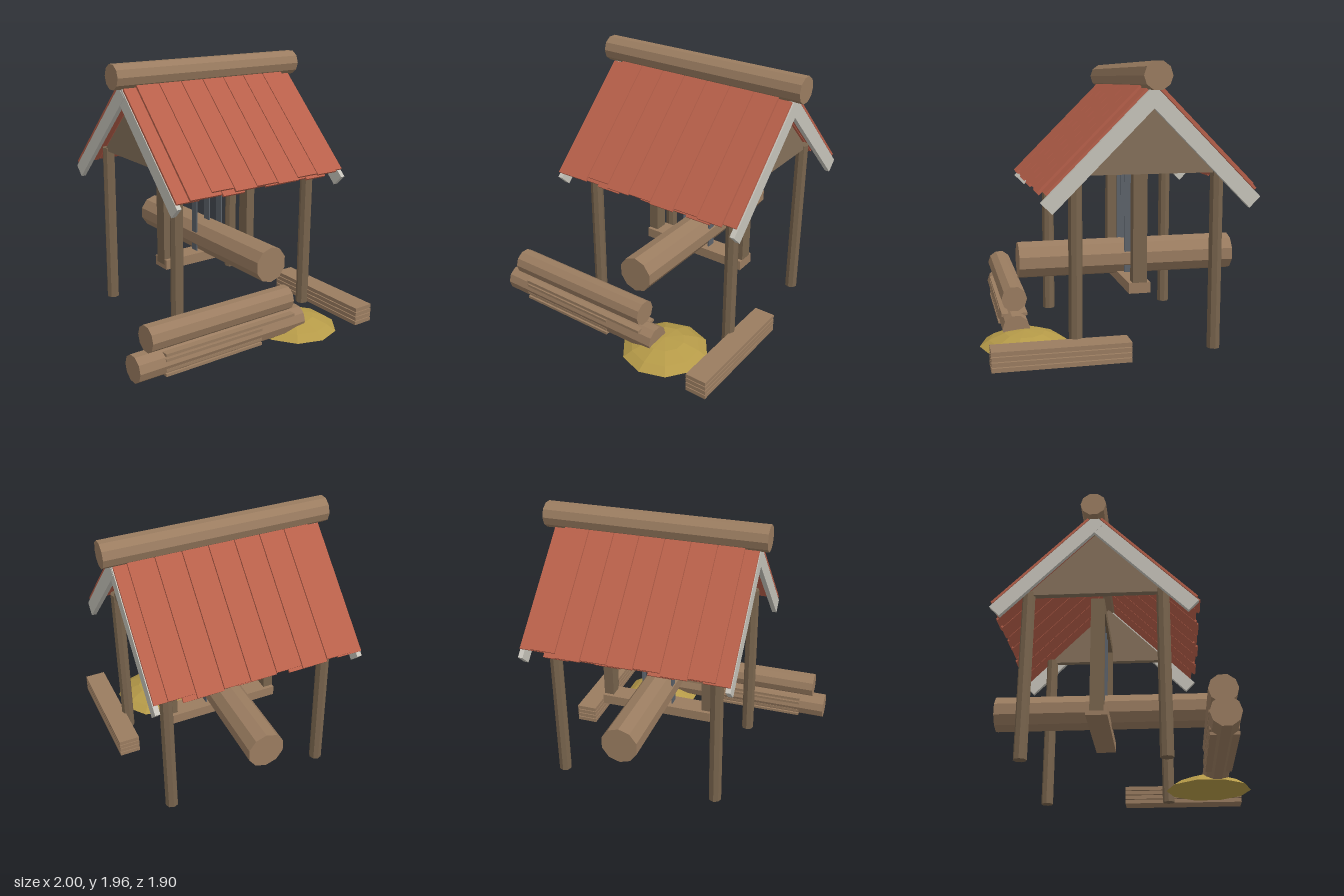
import * as THREE from 'three';

const mat = (color, extra = {}) => new THREE.MeshStandardMaterial({ color, flatShading: true, ...extra });

export function createModel() {
  const model = new THREE.Group();
  const wood = mat(0x9a7c60), darkWood = mat(0x78644d), gableWood = mat(0x84705a);
  const red = mat(0xb8604a), trim = mat(0xc6c3ba), steel = mat(0x5c626a), dust = mat(0xb59a48);

  const add = (parent, name, geometry, material, x, y, z) => {
    const mesh = new THREE.Mesh(geometry, material);
    mesh.name = name;
    mesh.position.set(x, y, z);
    parent.add(mesh);
    return mesh;
  };
  const box = (parent, name, material, w, h, d, x, y, z) =>
    add(parent, name, new THREE.BoxGeometry(w, h, d), material, x, y, z);
  // Lying log, slightly tapered, along x or z
  const log = (name, r0, r1, length, axis, x, y, z) => {
    const g = new THREE.CylinderGeometry(r0, r1, length, 10);
    if (axis === 'x') g.rotateZ(-Math.PI / 2);
    else g.rotateX(Math.PI / 2);
    return add(model, name, g, wood, x, y, z);
  };

  const midZ = -0.15;
  const postX = [-0.425, 0.775];

  // Four corner posts and the two gable triangles
  const gable = new THREE.Shape([
    new THREE.Vector2(-0.5, 0), new THREE.Vector2(0.5, 0), new THREE.Vector2(0, 0.5),
  ]);
  for (const x of postX) {
    for (const s of [-1, 1]) {
      add(model, 'cornerPost', new THREE.CylinderGeometry(0.047, 0.047, 1.25, 8), darkWood,
        x, 0.625, midZ + s * 0.485);
    }
    const g = new THREE.ExtrudeGeometry(gable, { depth: 0.05, bevelEnabled: false });
    g.translate(0, 0, -0.025).rotateY(Math.PI / 2);
    add(model, 'gable', g, gableWood, x, 1.225, midZ);
  }

  // Roof: each slope has an under layer, an upper layer and two end boards
  const ends = [0.0, 0.012, -0.02, 0.008, 0.0, 0.015, -0.006, 0.004];
  for (const s of [1, -1]) {
    const slope = new THREE.Group();
    slope.name = s > 0 ? 'frontRoof' : 'backRoof';
    slope.position.set(0, 1.733, midZ);
    slope.rotation.x = s * Math.PI / 4;
    model.add(slope);
    const layer = (name, count, x0, pitch, n, shift) => {
      for (let i = 0; i < count; i++) {
        const end = 0.945 + ends[(i + shift) % ends.length];
        box(slope, name, red, pitch - 0.006, 0.017, end, x0 + (i + 0.5) * pitch, n, s * end / 2);
      }
    };
    layer('underRoofPlank', 8, -0.58, 0.189, 0.066, 3);
    layer('upperRoofPlank', 7, -0.485, 0.1895, 0.092, s > 0 ? 1 : 4);
    for (const x of [-0.5625, 0.9175]) {
      box(slope, 'gableBoard', trim, 0.035, 0.104, 1.02, x + s * 0.001, 0, s * 0.475);
    }
  }
  log('ridgeLog', 0.095, 0.094, 1.64, 'x', 0.18, 1.865, midZ - 0.005);

  // Saw frame with three blades
  const frame = new THREE.Group();
  frame.name = 'sawFrame';
  model.add(frame);
  for (const x of [-0.22, 0.575]) box(frame, 'frameUpright', darkWood, 0.075, 0.86, 0.1, x, 0.83, midZ);
  box(frame, 'frameSill', wood, 0.87, 0.075, 0.155, 0.178, 0.405, midZ);
  box(frame, 'frameHead', darkWood, 0.87, 0.075, 0.1, 0.178, 1.25, midZ);
  for (const x of [0.06, 0.177, 0.295]) box(frame, 'sawBlade', steel, 0.01, 0.8, 0.065, x, 0.83, midZ);

  // Log being sawn and the log pile
  log('sawnLog', 0.133, 0.136, 1.6, 'z', 0.178, 0.545, -0.15);
  log('lowerLog', 0.098, 0.098, 1.4, 'x', -0.3, 0.1, 0.69);
  log('upperLog', 0.092, 0.095, 1.19, 'x', -0.305, 0.285, 0.69);

  // Boards stacked into the lower log
  for (let i = 0; i < 5; i++) {
    box(model, 'pileBoard', wood, i === 4 ? 1.1 : 0.8, 0.02, 0.185, i === 4 ? -0.25 : -0.4, 0.03 + i * 0.036, 0.69);
  }

  // Stack of cut planks beside the shed
  for (let i = 0; i < 4; i++) {
    box(model, 'cutPlank', wood, 0.157, 0.029, 0.92, 0.878, 0.0175 + i * 0.0355, 0.45);
  }

  // Sawdust heap: low faceted dome, closed underneath
  const heap = new THREE.LatheGeometry([
    new THREE.Vector2(0, 0), new THREE.Vector2(0.315, 0), new THREE.Vector2(0.25, 0.042),
    new THREE.Vector2(0.14, 0.085), new THREE.Vector2(0, 0.1),
  ], 10);
  add(model, 'sawdustHeap', heap, dust, 0.43, 0.001, 0.635);

  return model;
}
